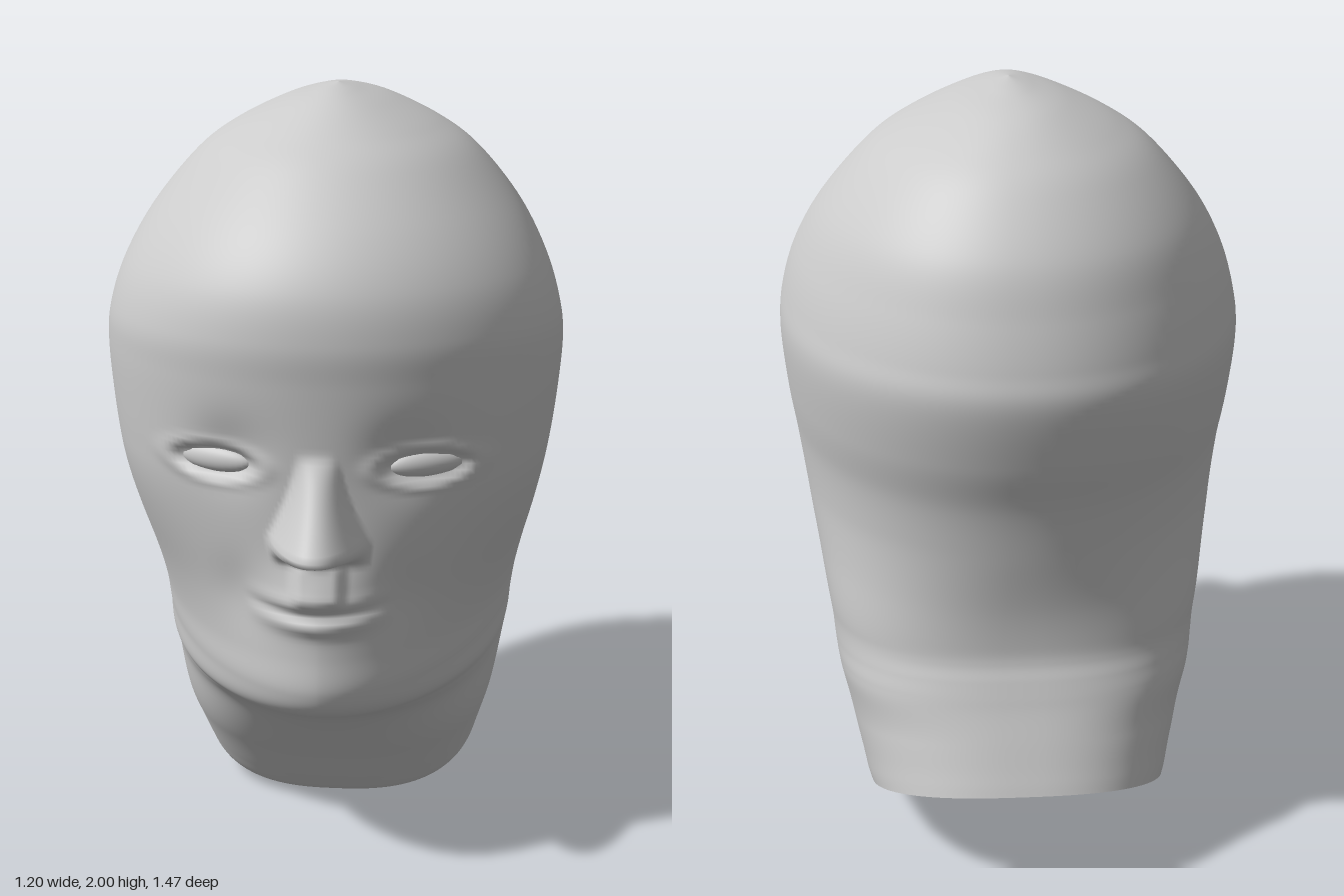
import * as THREE from 'three';

const ROWS = 220, COLS = 180;
const { smoothstep, clamp, lerp } = THREE.MathUtils;
const bell = (d, s) => Math.exp(-(d * d) / (s * s));

// Sections from crown to neck: front z, front y, half width, back z, back y
const SECTIONS = [
  [-0.06, 2.0, 0, -0.06, 2.0],
  [0.07, 1.985, 0.06, -0.2, 1.985],
  [0.17, 1.955, 0.15, -0.34, 1.955],
  [0.27, 1.9, 0.27, -0.45, 1.895],
  [0.37, 1.83, 0.37, -0.54, 1.82],
  [0.5, 1.7, 0.48, -0.64, 1.69],
  [0.575, 1.58, 0.55, -0.69, 1.56],
  [0.6, 1.46, 0.588, -0.722, 1.45],
  [0.595, 1.35, 0.6, -0.735, 1.36],
  [0.585, 1.2, 0.588, -0.7, 1.2],
  [0.575, 1.05, 0.567, -0.655, 1.06],
  [0.575, 0.9, 0.54, -0.625, 0.9],
  [0.58, 0.78, 0.515, -0.605, 0.77],
  [0.595, 0.65, 0.495, -0.6, 0.67],
  [0.6, 0.55, 0.485, -0.605, 0.62],
  [0.56, 0.48, 0.48, -0.62, 0.58],
  [0.45, 0.43, 0.473, -0.635, 0.54],
  [0.34, 0.36, 0.462, -0.65, 0.5],
  [0.2, 0.2, 0.435, -0.68, 0.43],
  [0.11, 0.08, 0.412, -0.705, 0.37],
  [0.06, 0.02, 0.4, -0.72, 0.335],
  [0.02, 0, 0.39, -0.73, 0.31],
];

// Forward offset of the face surface at (x, y)
function faceRelief(x, y) {
  const ax = Math.abs(x);
  // nose: widening wedge with a sharp underside, nostrils below
  const t = clamp((1.18 - y) / 0.225, 0, 1);
  const w = 0.052 + 0.073 * Math.pow(t, 1.6);
  let d = 0.16 * t * Math.max(0, 1 - Math.pow(ax / w, 2.2)) * smoothstep(y, 0.895, 0.95);
  d -= 0.015 * bell(ax - 0.05, 0.025) * bell(y - 0.915, 0.015);
  // philtrum
  d += 0.02 * (1 - smoothstep(ax, 0.04, 0.08)) * smoothstep(y, 0.79, 0.82) * (1 - smoothstep(y, 0.89, 0.93));
  // muzzle and hollows beside the mouth
  d += 0.03 * bell(x, 0.14) * bell(y - 0.8, 0.08);
  d -= 0.012 * bell(ax - 0.2, 0.07) * bell(y - 0.8, 0.09);
  // lips, slit curving up to the corners
  const yc = 0.768 + 0.5 * x * x;
  const fade = Math.max(0, 1 - (ax / 0.19) ** 2);
  d += fade * (0.008 * bell(y - yc - 0.03, 0.02) + 0.014 * bell(y - yc + 0.03, 0.022) - 0.014 * bell(y - yc, 0.012));
  // eye sockets, openings and lid rims
  d -= 0.022 * bell(ax - 0.22, 0.1) * bell(y - 1.17, 0.09);
  const e = Math.hypot((ax - 0.265) / 0.11, (y - 1.14) / 0.04);
  d += 0.006 * bell(e - 1.25, 0.25) - 0.018 * (1 - smoothstep(e, 0.7, 1.15));
  return d;
}

function headGeometry() {
  const curve = k => new THREE.CatmullRomCurve3(
    SECTIONS.map(s => new THREE.Vector3(s[k], s[k + 1], k ? 0 : s[2])), false, 'catmullrom', 0.5);
  const front = curve(0), back = curve(3);
  const pos = [], index = [];
  for (let i = 0; i <= ROWS; i++) {
    const f = front.getPoint(i / ROWS), b = back.getPoint(i / ROWS);
    // broad brow, jaw tapering forward, nape and neck squarer
    const brow = 1 - smoothstep(f.y, 1.4, 1.8);
    const jaw = 1 - smoothstep(f.y, 0.6, 1.1);
    const neck = 1 - smoothstep(f.y, 0.2, 0.55);
    const frontPower = 2 / (2.05 - 0.27 * jaw + 0.85 * neck);
    const backPower = 2 / (2.1 + 0.5 * (1 - smoothstep(b.y, 0.55, 0.95)));
    const centre = 0.5 + (0.07 * brow - 0.21 * jaw) * (1 - neck);
    for (let j = 0; j < COLS; j++) {
      // columns gather toward the face
      const u = (j / COLS) * Math.PI * 2, a = u - 0.6 * Math.sin(u);
      const s = Math.sin(a), c = Math.cos(a);
      const power = c > 0 ? frontPower : backPower;
      const k = Math.pow(Math.abs(c), power);
      const depth = c > 0 ? lerp(centre, 1, k) : lerp(centre, 0, k);
      const x = Math.max(0, f.z) * Math.sign(s) * Math.pow(Math.abs(s), power);
      const y = lerp(b.y, f.y, depth);
      const z = lerp(b.x, f.x, depth);
      pos.push(x, y, z + (c > 0 ? faceRelief(x, y) : 0));
    }
  }
  for (let i = 0; i < ROWS; i++) {
    for (let j = 0; j < COLS; j++) {
      const n = (j + 1) % COLS;
      const p = i * COLS + j, q = i * COLS + n;
      index.push(p, p + COLS, q + COLS, p, q + COLS, q);
    }
  }
  return surface(pos, index);
}

// Flat slanted cut closing the neck, using the last ring of the head
function baseGeometry(head) {
  const ring = head.attributes.position.array.slice(-COLS * 3);
  const pos = [0, 0.155, -0.355, ...ring], index = [];
  for (let j = 0; j < COLS; j++) index.push(0, 1 + ((j + 1) % COLS), 1 + j);
  return surface(pos, index);
}

function surface(pos, index) {
  const g = new THREE.BufferGeometry();
  g.setAttribute('position', new THREE.Float32BufferAttribute(pos, 3));
  g.setIndex(index);
  g.computeVertexNormals();
  return g;
}

export function createModel() {
  const group = new THREE.Group();
  group.name = 'mannequinHead';
  const material = new THREE.MeshStandardMaterial({ color: 0xcccccc });
  const add = (name, geometry) => {
    const mesh = new THREE.Mesh(geometry, material);
    mesh.name = name;
    group.add(mesh);
    return mesh;
  };

  const head = headGeometry();
  add('headAndNeck', head);
  add('neckBase', baseGeometry(head));

  // Eyeballs turned to follow the curve of the face
  for (const side of [1, -1]) {
    const eye = add(side > 0 ? 'leftEye' : 'rightEye', new THREE.SphereGeometry(1, 32, 20));
    eye.scale.set(0.108, 0.036, 0.032);
    eye.position.set(side * 0.265, 1.14, 0.475);
    eye.rotation.y = side * 0.45;
  }
  return group;
}
